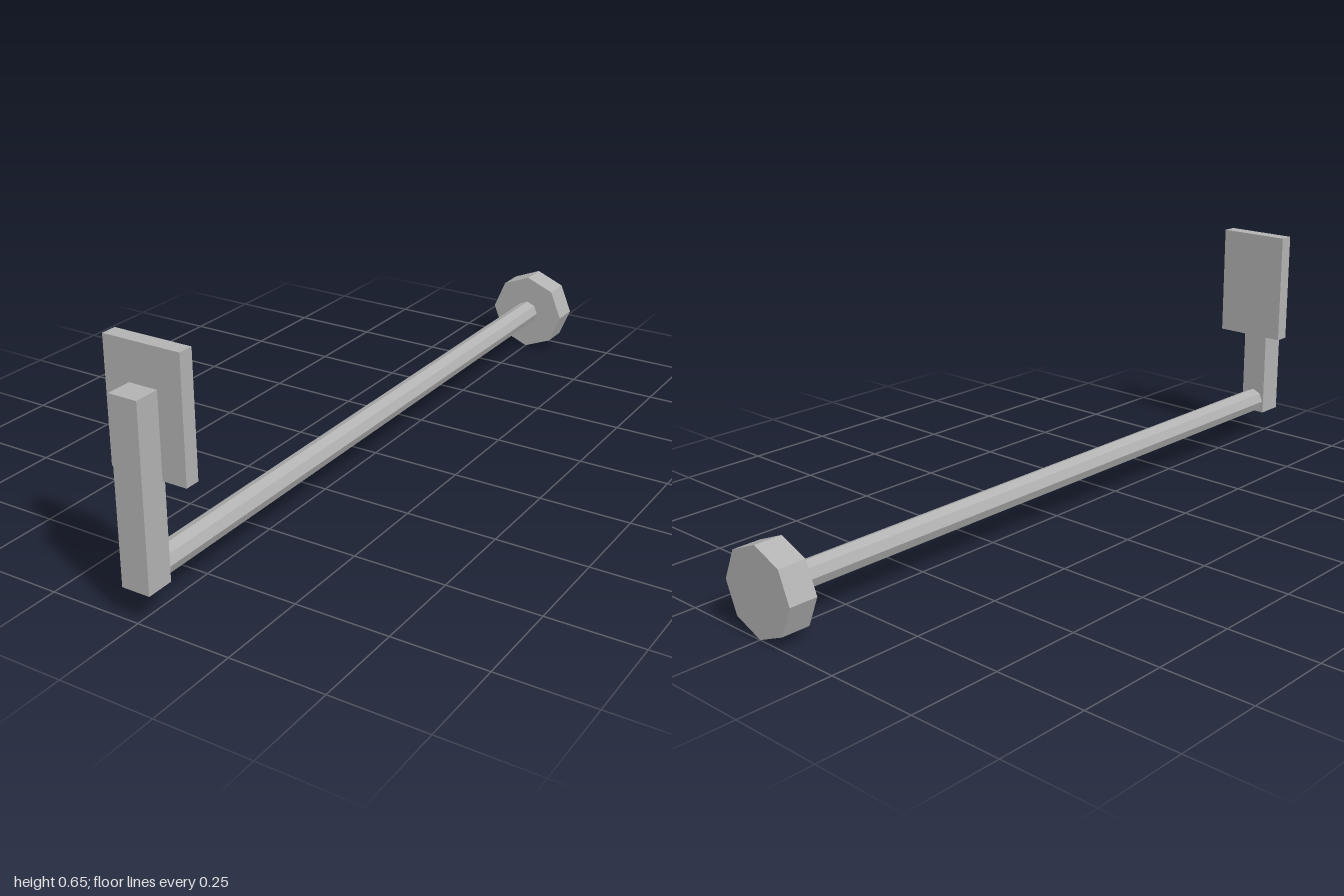
import * as THREE from 'three';

export function createModel() {
  const model = new THREE.Group();
  const grey = new THREE.MeshStandardMaterial({ color: 0xb2b2b2, flatShading: true });
  grey.name = 'grey';

  const add = (name, geometry, x, y, z) => {
    const mesh = new THREE.Mesh(geometry, grey);
    mesh.name = name;
    mesh.position.set(x, y, z);
    model.add(mesh);
  };
  // Box given by width and its y and z ranges, centred on x = 0
  const box = (name, w, y0, y1, z0, z1) =>
    add(name, new THREE.BoxGeometry(w, y1 - y0, z1 - z0), 0, (y0 + y1) / 2, (z0 + z1) / 2);
  // Eight-sided bar lying along z
  const axleY = 0.117;
  const octagon = (name, r, z0, z1) =>
    add(name, new THREE.CylinderGeometry(r, r, z1 - z0, 8).rotateX(Math.PI / 2), 0, axleY, (z0 + z1) / 2);

  // Long rod with an end knob at the back
  octagon('rod', 0.035, -0.93, 0.93);
  octagon('endKnob', 0.116, -1, -0.923);

  // Upright arm at the front, carrying the plate on its rear face
  box('uprightArm', 0.077, 0.082, 0.551, 0.925, 1);
  box('plate', 0.209, 0.336, 0.65, 0.893, 0.933);

  return model;
}
